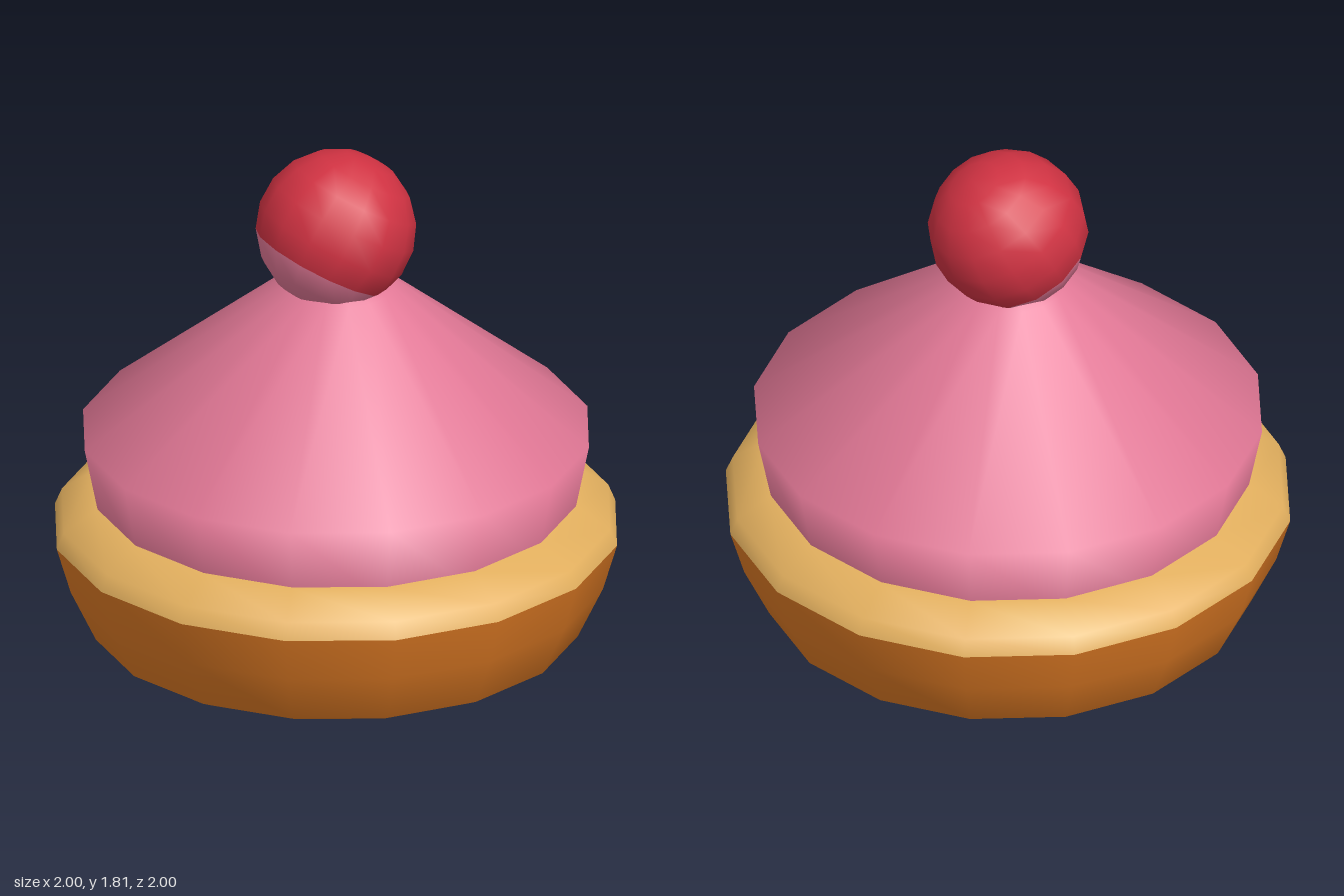
import * as THREE from 'three';
import { mergeVertices } from 'three/addons/utils/BufferGeometryUtils.js';

const SIDES = 16;

function material(name, color) {
  const m = new THREE.MeshStandardMaterial({ color });
  m.name = name;
  return m;
}

function lathe(profile) {
  return new THREE.LatheGeometry(profile.map(([r, y]) => new THREE.Vector2(r, y)), SIDES);
}

export function createModel() {
  const model = new THREE.Group();
  model.name = 'cupcake';
  const crust = material('baked orange', 0xde7a24);
  const cream = material('golden cream', 0xe2af5e);
  const pink = material('pink icing', 0xe27896);
  const red = material('cherry red', 0xd03242);

  const add = (name, geometry, mat, parent = model) => {
    const mesh = new THREE.Mesh(geometry, mat);
    mesh.name = name;
    parent.add(mesh);
    return mesh;
  };

  // Sixteen-sided pastry cup with a flat base
  add('cup', lathe([[0.8, 0], [0.86, 0.03], [0.95, 0.22], [1, 0.39]]), crust);
  const base = new THREE.CircleGeometry(0.8, SIDES);
  base.rotateX(Math.PI / 2);
  add('cupBase', base, crust);

  // Golden rim closing the top of the cup
  add('rim', lathe([[1, 0.39], [0.975, 0.45], [0.86, 0.53], [0.6, 0.56], [0, 0.56]]), cream);

  // Icing: a flared wall and a slightly twisted cone
  let icing = lathe([[0.84, 0.46], [0.9, 0.76], [0.21, 1.315], [0, 1.42]]);
  const pos = icing.attributes.position;
  for (let i = 0; i < pos.count; i++) {
    const x = pos.getX(i), y = pos.getY(i), z = pos.getZ(i);
    const turn = y > 1 ? Math.PI / 8 : 0;
    const c = Math.cos(turn), s = Math.sin(turn);
    pos.setXYZ(i, x * c + z * s, y, z * c - x * s);
  }
  icing.deleteAttribute('uv');
  icing.deleteAttribute('normal');
  icing = mergeVertices(icing, 1e-4);
  icing.computeVertexNormals();
  add('icing', icing, pink);

  // Cherry, tilted so its icing-coated underside shows at the front
  const cherry = new THREE.Group();
  cherry.name = 'cherry';
  cherry.position.set(0, 1.53, 0);
  const down = new THREE.Vector3(-0.28, -0.87, 0.41).normalize();
  cherry.quaternion.setFromUnitVectors(new THREE.Vector3(0, -1, 0), down);
  const split = THREE.MathUtils.degToRad(118);
  const ball = (rings, start, length) =>
    new THREE.SphereGeometry(0.282, 14, rings, 0, Math.PI * 2, start, length);
  add('cherryTop', ball(6, 0, split), red, cherry);
  add('cherryCoating', ball(3, split, Math.PI - split), pink, cherry);
  model.add(cherry);

  return model;
}
